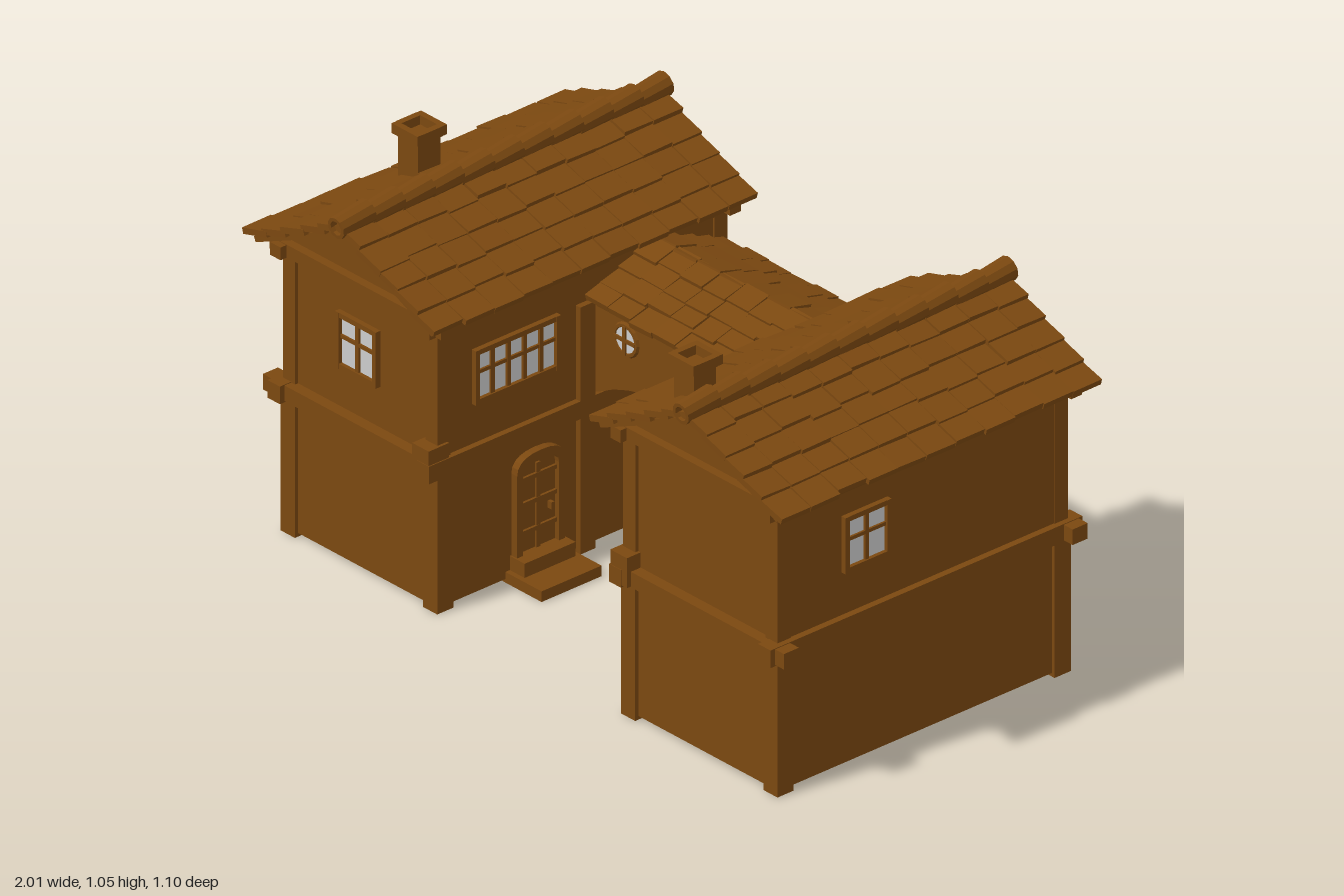
import * as THREE from 'three';
import { mergeGeometries } from 'three/addons/utils/BufferGeometryUtils.js';

const wood = new THREE.MeshStandardMaterial({ color: 0x7b4810, flatShading: true });
const glass = new THREE.MeshStandardMaterial({ color: 0xcccccc });

let seed = 7;
const jitter = (a) => {
  seed = (seed * 16807) % 2147483647;
  return (seed / 2147483647 - 0.5) * 2 * a;
};

function mesh(parent, name, geo, mat = wood) {
  const m = new THREE.Mesh(geo, mat);
  m.name = name;
  parent.add(m);
  return m;
}

// Box given by its lower and upper limits on each axis
function box(parent, name, x0, x1, y0, y1, z0, z1, mat) {
  const m = mesh(parent, name, new THREE.BoxGeometry(Math.abs(x1 - x0), y1 - y0, z1 - z0), mat);
  m.position.set((x0 + x1) / 2, (y0 + y1) / 2, (z0 + z1) / 2);
  return m;
}

function place(parent, part, x, y, z, ry = 0) {
  part.position.set(x, y, z);
  part.rotation.y = ry;
  parent.add(part);
}

function group(name) {
  const g = new THREE.Group();
  g.name = name;
  return g;
}

// Framed window facing +z, centred on its origin
function makeWindow(w, h, lights = 2) {
  const g = group('window');
  const t = 0.014;
  box(g, 'glass', -w / 2, w / 2, -h / 2, h / 2, -0.01, 0.004, glass);
  for (const s of [-1, 1]) {
    box(g, 'frameSide', s * w / 2 - t / 2, s * w / 2 + t / 2, -h / 2 - t / 2, h / 2 + t / 2, -0.01, 0.016);
    box(g, 'frameRail', -w / 2, w / 2, s * h / 2 - t / 2, s * h / 2 + t / 2, -0.01, 0.015);
  }
  for (let i = 1; i < lights; i++) {
    const x = -w / 2 + (w * i) / lights;
    box(g, 'mullion', x - 0.006, x + 0.006, -h / 2, h / 2, 0, 0.011);
  }
  box(g, 'transom', -w / 2, w / 2, h * 0.08 - 0.005, h * 0.08 + 0.005, 0, 0.01);
  return g;
}

function makeRoundWindow() {
  const g = group('roundWindow');
  mesh(g, 'glass', new THREE.CircleGeometry(0.04, 16), glass).position.z = 0.004;
  mesh(g, 'ring', new THREE.TorusGeometry(0.041, 0.008, 6, 16));
  box(g, 'barAcross', -0.04, 0.04, -0.005, 0.005, 0, 0.009);
  box(g, 'barUpright', -0.005, 0.005, -0.04, 0.04, 0, 0.01);
  return g;
}

function archShape(w, h, Type = THREE.Shape) {
  const s = new Type();
  const spring = h - w * 0.3;
  s.moveTo(-w / 2, 0);
  s.lineTo(w / 2, 0);
  s.lineTo(w / 2, spring);
  s.quadraticCurveTo(w / 2, h, 0, h);
  s.quadraticCurveTo(-w / 2, h, -w / 2, spring);
  s.closePath();
  return s;
}

// Arched door facing +z with two steps in front
function makeDoor() {
  const g = group('door');
  const frame = archShape(0.16, 0.29);
  const hole = archShape(0.12, 0.268, THREE.Path);
  frame.holes.push(hole);
  mesh(g, 'doorFrame', new THREE.ExtrudeGeometry(frame, { depth: 0.022, bevelEnabled: false, curveSegments: 5 })).position.y = 0.06;
  mesh(g, 'doorLeaf', new THREE.ExtrudeGeometry(archShape(0.122, 0.27), { depth: 0.006, bevelEnabled: false, curveSegments: 5 })).position.y = 0.06;
  for (const y of [0.12, 0.2, 0.27]) box(g, 'doorRail', -0.06, 0.06, y, y + 0.012, 0, 0.013);
  box(g, 'doorStile', -0.006, 0.006, 0.07, 0.31, 0, 0.012);
  box(g, 'doorHandle', 0.036, 0.046, 0.165, 0.185, 0, 0.02);
  box(g, 'lowerStep', -0.1, 0.1, 0, 0.03, -0.01, 0.135);
  box(g, 'upperStep', -0.085, 0.085, 0.03, 0.07, -0.01, 0.055);
  return g;
}

// Tiled gable roof, ridge along z at height ridgeY
function makeRoof(run, eaveY, ridgeY, length, cols, rows) {
  const g = group('roof');
  const angle = Math.atan2(ridgeY - eaveY, run);
  const slope = Math.hypot(run, ridgeY - eaveY);
  const step = slope / rows, pitch = length / cols;
  const tiles = [];
  for (const side of [-1, 1]) {
    const put = (geo, s, lift, tilt, z) => {
      geo.rotateZ(-side * (angle - tilt));
      return geo.translate(side * (s * Math.cos(angle) + lift * Math.sin(angle)),
        ridgeY - s * Math.sin(angle) + lift * Math.cos(angle), z);
    };
    mesh(g, 'roofBoards', put(new THREE.BoxGeometry(slope - 0.01, 0.016, length - 0.03), slope / 2 - 0.005, -0.019, 0, 0));
    for (let r = 0; r < rows; r++) {
      for (let c = 0; c < cols; c++) {
        const tile = new THREE.BoxGeometry(step * 1.2, 0.017, pitch * 0.975 + jitter(0.002));
        tile.rotateX(jitter(0.03));
        tiles.push(put(tile, (r + 0.5) * step + jitter(0.006), jitter(0.003), 0.13 + jitter(0.03),
          (c + 0.5) * pitch - length / 2));
      }
    }
  }
  mesh(g, 'roofTiles', mergeGeometries(tiles));
  return g;
}

// Hollow tapered ridge caps, each lifted over the next
function addRidgeCaps(roof, y, length, count) {
  const profile = [[0.02, -0.5], [0.03, -0.5], [0.034, 0.5], [0.02, 0.5], [0.02, -0.5]]
    .map(([r, h]) => new THREE.Vector2(r, h * (length / count) * 1.08));
  const geo = new THREE.LatheGeometry(profile, 10);
  for (let i = 0; i < count; i++) {
    const cap = mesh(roof, 'ridgeCap', geo);
    cap.position.set(jitter(0.002), y, -length / 2 + (i + 0.5) * (length / count));
    cap.rotation.x = -Math.PI / 2 + 0.11;
  }
}

function makeChimney() {
  const g = group('chimney');
  box(g, 'stack', -0.037, 0.037, 0.84, 1.02, -0.037, 0.037);
  for (const s of [-1, 1]) {
    box(g, 'capEnd', -0.048, 0.048, 1.018, 1.046, s * 0.04 - 0.009, s * 0.04 + 0.009);
    box(g, 'capSide', s * 0.04 - 0.009, s * 0.04 + 0.009, 1.018, 1.046, -0.034, 0.034);
  }
  return g;
}

// One house; s is -1 or +1 along x, porch cuts away the inner back corner
function makeHouse(s, porch) {
  const g = group(s < 0 ? 'rightHouse' : 'leftHouse');
  const X = (a) => s * a;
  const bar = (name, a, b, y0, y1, z0, z1) => box(g, name, X(a), X(b), y0, y1, z0, z1);
  if (porch) {
    bar('lowerWalls', 0.352, 0.915, 0.01, 0.4, -0.23, 0.465);
    bar('lowerWallsBack', 0.59, 0.915, 0.01, 0.4, -0.49, -0.23);
  } else bar('lowerWalls', 0.352, 0.915, 0.01, 0.4, -0.49, 0.465);

  // Upper storey with its gables
  const wall = new THREE.Shape([[-0.283, 0.39], [0.283, 0.39], [0.283, 0.83], [0, 0.965], [-0.283, 0.83]]
    .map(([x, y]) => new THREE.Vector2(x, y)));
  mesh(g, 'upperWalls', new THREE.ExtrudeGeometry(wall, { depth: 0.95, bevelEnabled: false })).position.set(X(0.635), 0, -0.488);

  // Corner posts, slightly wider below than above
  for (const [a, b] of [[0.342, 0.395], [0.872, 0.925]]) {
    for (const [z0, z1] of [[-0.502, -0.448], [0.422, 0.476]]) {
      bar('lowerPost', a, b, 0, 0.4, z0, z1);
      bar('upperPost', a + 0.004, b - 0.004, 0.4, 0.81, z0 + 0.006, z1 - 0.004);
    }
  }
  // Floor beams and wall plates with projecting ends
  for (const [z0, z1] of [[-0.518, -0.468], [0.445, 0.495]]) {
    bar('floorBeam', 0.34, 0.97, 0.388, 0.432, z0, z1);
    bar('wallPlate', 0.315, 0.955, 0.792, 0.828, z0 + 0.005, z1 - 0.008);
  }
  for (const [a, b] of [[0.335, 0.38], [0.89, 0.937]]) {
    bar('sideFloorBeam', a, b, 0.384, 0.434, -0.53, 0.51);
    bar('sideWallPlate', a + 0.002, b - 0.006, 0.79, 0.826, -0.53, 0.506);
  }
  for (const [z0, z1] of [[-0.525, -0.46], [0.44, 0.508]]) bar('beamBlock', 0.338, 0.4, 0.39, 0.475, z0, z1);

  const roof = makeRoof(0.348, 0.835, 0.992, 1.075, 11, 5);
  addRidgeCaps(roof, 1.003, 1.09, 11);
  place(g, roof, X(0.642), 0, -0.003);
  return g;
}

function makeBridge() {
  const g = group('bridge');
  // Solid passage with an arched underside
  const s = new THREE.Shape();
  s.moveTo(-0.36, 0.72);
  s.lineTo(-0.36, 0.43);
  s.lineTo(-0.335, 0.44);
  s.bezierCurveTo(-0.22, 0.51, -0.12, 0.505, 0, 0.525);
  s.bezierCurveTo(0.12, 0.505, 0.22, 0.51, 0.335, 0.44);
  s.lineTo(0.36, 0.43);
  s.lineTo(0.36, 0.72);
  mesh(g, 'passageWalls', new THREE.ExtrudeGeometry(s, { depth: 0.38, bevelEnabled: false, curveSegments: 6 })).position.z = -0.435;
  for (const x of [-0.23, 0.23]) {
    place(g, makeRoundWindow(), x, 0.63, -0.055);
    place(g, makeRoundWindow(), x, 0.63, -0.435, Math.PI);
  }
  for (const [z0, z1] of [[-0.45, -0.42], [-0.07, -0.04]]) box(g, 'eaveBeam', -0.35, 0.35, 0.695, 0.72, z0, z1);
  place(g, makeRoof(0.225, 0.715, 0.808, 0.68, 8, 4), 0, 0, -0.245, Math.PI / 2);
  return g;
}

export function createModel() {
  const model = group('bridgedHouses');
  const R = Math.PI / 2;
  const a = makeHouse(-1, false);
  const b = makeHouse(1, true);
  model.add(a, b, makeBridge());

  // House at -x: windows, door, bridge post and chimney
  place(a, makeWindow(0.138, 0.145), -0.645, 0.627, 0.462);
  place(a, makeWindow(0.27, 0.14, 5), -0.352, 0.625, 0.21, R);
  place(a, makeWindow(0.13, 0.15), -0.352, 0.21, -0.25, R);
  place(a, makeDoor(), -0.352, 0, 0.14, R);
  box(a, 'bridgePost', -0.37, -0.335, 0, 0.7, -0.045, 0.005);
  for (const z of [-0.24, 0.17]) place(a, makeWindow(0.13, 0.15), -0.915, 0.205, z, -R);
  place(a, makeChimney(), -0.84, 0, 0.09);

  // House at +x: windows, porch door and chimney
  place(b, makeWindow(0.14, 0.145), 0.918, 0.635, 0.18, R);
  place(b, makeWindow(0.138, 0.145), 0.64, 0.627, -0.488, Math.PI);
  place(b, makeWindow(0.27, 0.14, 5), 0.352, 0.625, 0.21, -R);
  place(b, makeWindow(0.13, 0.15), 0.352, 0.205, 0.13, -R);
  place(b, makeDoor(), 0.59, 0, -0.36, -R);
  place(b, makeChimney(), 0.5, 0, 0.37);
  return model;
}
